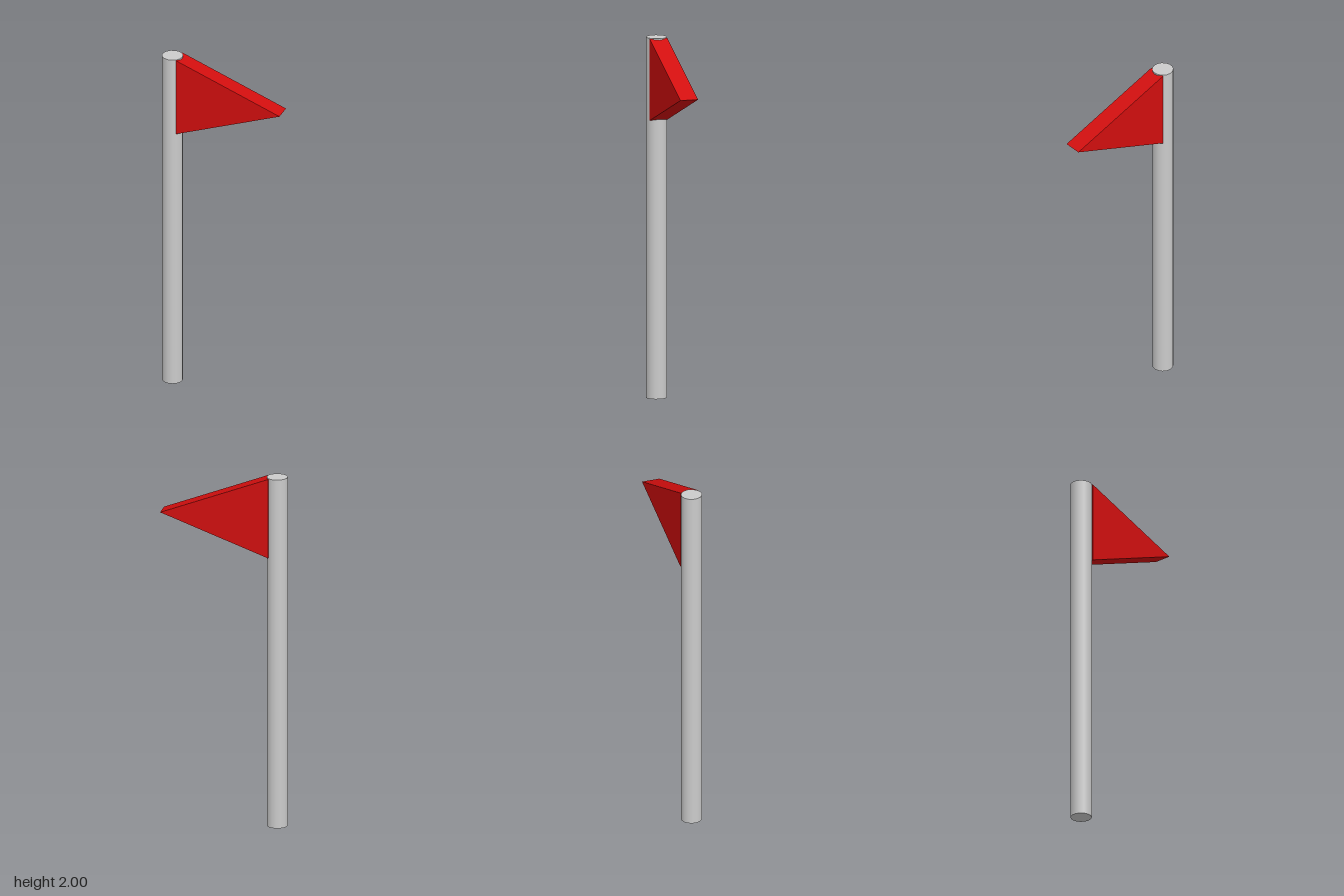
import * as THREE from 'three';

export function createModel() {
  const group = new THREE.Group();

  // Smooth 15-sided pole, one corner pointing towards +x
  const radius = 0.058, height = 2;
  const pole = new THREE.Mesh(
    new THREE.CylinderGeometry(radius, radius, height, 15, 1, false, Math.PI / 2),
    new THREE.MeshStandardMaterial({ color: 0xcccccc })
  );
  pole.name = 'pole';
  pole.position.set(-0.293, height / 2, 0);
  group.add(pole);

  // Thick triangular pennant, sunk slightly into the pole
  const depth = 0.1;
  const outline = new THREE.Shape([
    new THREE.Vector2(-0.253, 1.545),
    new THREE.Vector2(0.349, 1.767),
    new THREE.Vector2(-0.253, 1.998),
  ]);
  const flag = new THREE.Mesh(
    new THREE.ExtrudeGeometry(outline, { depth, bevelEnabled: false }),
    new THREE.MeshStandardMaterial({ color: 0xd20e0e })
  );
  flag.name = 'flag';
  flag.position.z = -depth / 2;
  group.add(flag);

  return group;
}
